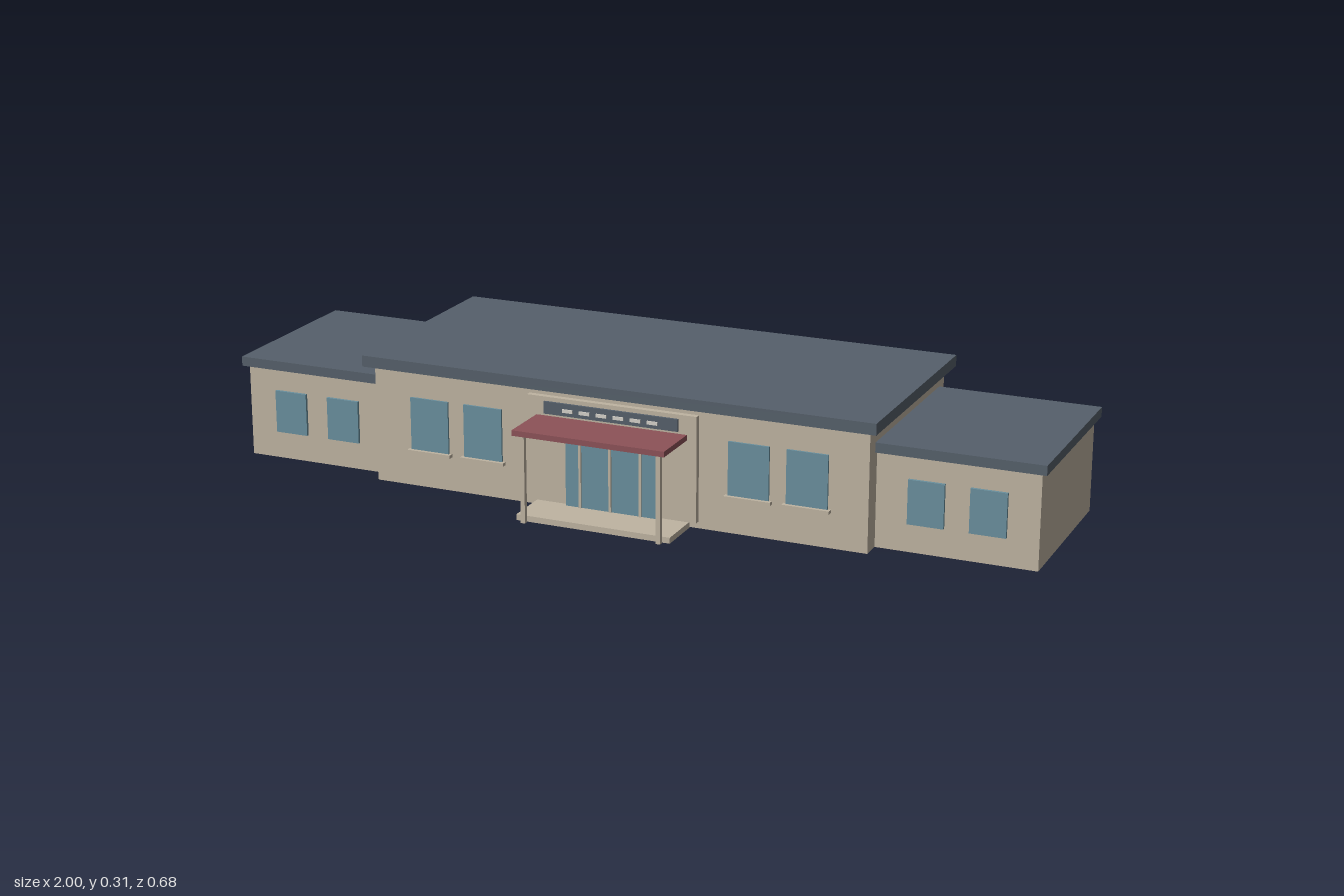
import * as THREE from 'three';

const mat = (name, color) => {
  const m = new THREE.MeshStandardMaterial({ color });
  m.name = name;
  return m;
};

export function createModel() {
  const wall = mat('stone wall', 0xbfb4a2);
  const roof = mat('slate roof', 0x56606b);
  const glass = mat('window glass', 0x6a909e);
  const red = mat('red canopy', 0x8d5258);
  const light = mat('pale tile', 0xd6d2ca);

  const model = new THREE.Group();
  model.name = 'building';

  // Box given by its centre x, width, and y and z ranges
  const box = (name, material, x, w, y0, y1, z0, z1) => {
    const mesh = new THREE.Mesh(new THREE.BoxGeometry(w, y1 - y0, z1 - z0), material);
    mesh.position.set(x, (y0 + y1) / 2, (z0 + z1) / 2);
    mesh.name = name;
    model.add(mesh);
  };

  // Central hall
  box('mainHall', wall, 0, 1.226, 0, 0.284, -0.317, 0.2);
  box('mainRoof', roof, 0, 1.268, 0.284, 0.311, -0.341, 0.223);

  for (const [side, s] of [['left', 1], ['right', -1]]) {
    // Lower side wing
    box(`${side}Wing`, wall, s * 0.8, 0.374, 0, 0.226, -0.271, 0.152);
    box(`${side}WingRoof`, roof, s * 0.806, 0.388, 0.225, 0.248, -0.283, 0.165);
    for (const x of [0.73, 0.872])
      box(`${side}WingWindow`, glass, s * x, 0.084, 0.067, 0.171, 0.152, 0.159);

    // Hall windows with sills
    for (const x of [0.331, 0.47]) {
      box(`${side}HallWindow`, glass, s * x, 0.098, 0.09, 0.218, 0.2, 0.205);
      box(`${side}WindowSill`, wall, s * x, 0.112, 0.083, 0.091, 0.2, 0.214);
    }

    // Canopy post
    box(`${side}CanopyPost`, wall, s * 0.167, 0.011, 0, 0.21, 0.32, 0.331);
  }

  // Entrance
  box('entrancePanel', wall, 0, 0.42, 0.016, 0.268, 0.2, 0.214);
  box('porchSlab', wall, 0, 0.38, 0, 0.014, 0.204, 0.317);
  box('canopy', red, 0, 0.373, 0.21, 0.223, 0.214, 0.342);
  box('doorGlass', glass, 0, 0.224, 0.014, 0.194, 0.214, 0.219);
  for (const x of [-0.075, 0, 0.075])
    box('doorMullion', wall, x, 0.006, 0.014, 0.189, 0.214, 0.223);

  // Sign board with plain tiles
  box('signBoard', roof, 0, 0.332, 0.229, 0.258, 0.214, 0.22);
  for (let i = 0; i < 6; i++)
    box('signTile', light, (i - 2.5) * 0.042, 0.026, 0.238, 0.246, 0.22, 0.223);

  return model;
}
